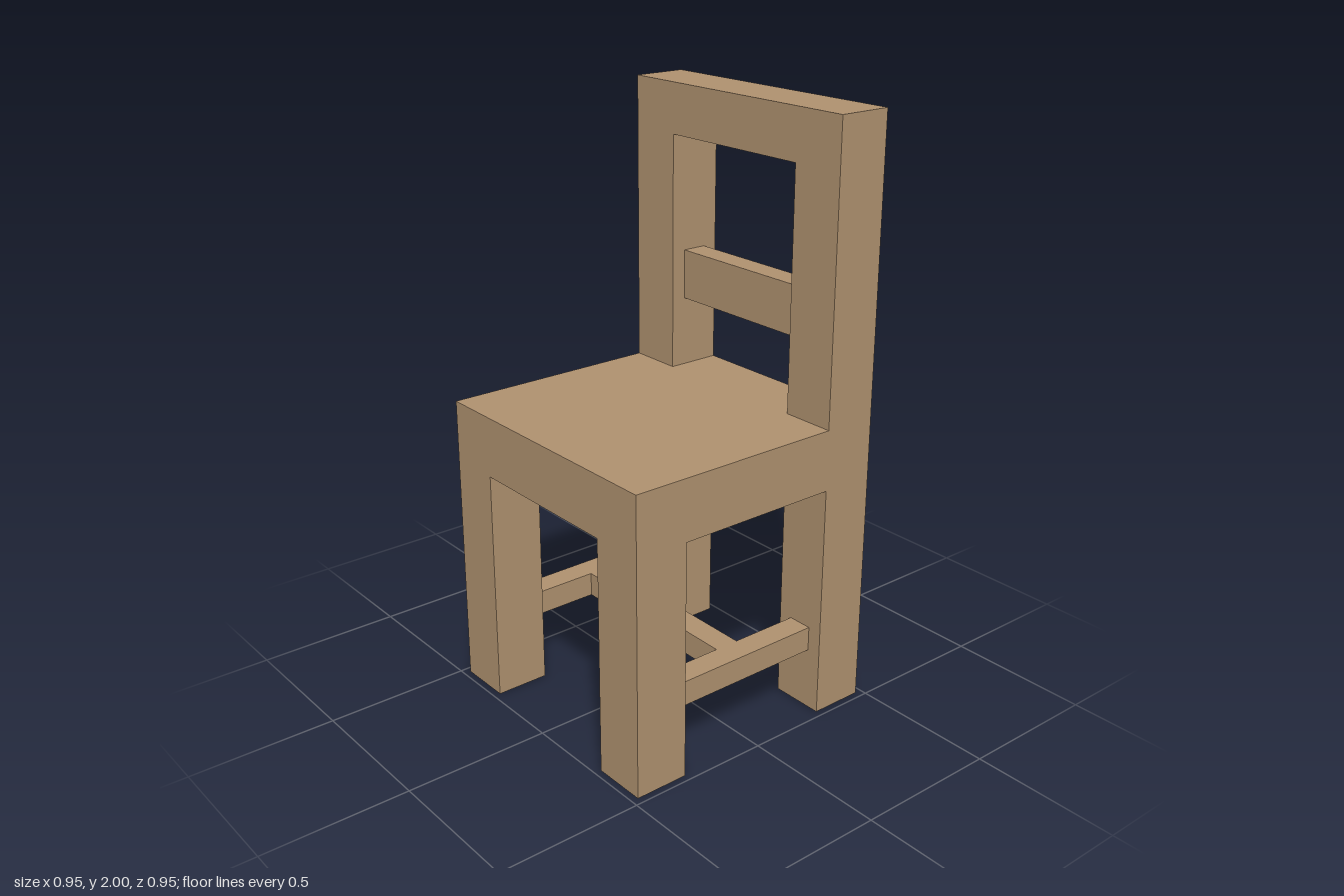
import * as THREE from 'three';

export function createModel() {
  const chair = new THREE.Group();
  chair.name = 'chair';
  const wood = new THREE.MeshStandardMaterial({ color: 0xb09270 });
  wood.name = 'wood';

  const OUT = 0.476, IN = 0.288;            // outer and inner faces of the posts
  const MID = (OUT + IN) / 2, POST = OUT - IN;
  const SEAT_LOW = 0.813, SEAT_TOP = 1.02, RAIL_LOW = 1.83, TOP = 2;
  const BAR = 0.086;                        // thickness of stretchers and slat

  // Box of width w and depth d centred on x, z, between heights y0 and y1
  function block(name, w, d, y0, y1, x, z) {
    const mesh = new THREE.Mesh(new THREE.BoxGeometry(w, y1 - y0, d), wood);
    mesh.name = name;
    mesh.position.set(x, (y0 + y1) / 2, z);
    chair.add(mesh);
  }

  block('seat', 2 * OUT, 2 * OUT, SEAT_LOW, SEAT_TOP, 0, 0);

  for (const [side, s] of [['left', 1], ['right', -1]]) {
    block(side + 'FrontLeg', POST, POST, 0, SEAT_LOW, s * MID, MID);
    block(side + 'BackLeg', POST, POST, 0, SEAT_LOW, s * MID, -MID);
    block(side + 'BackPost', POST, POST, SEAT_TOP, RAIL_LOW, s * MID, -MID);
    block(side + 'Stretcher', BAR, 2 * IN, 0.215, 0.3, s * MID, 0);
  }

  // Bar joining the side stretchers
  block('crossStretcher', 2 * MID - BAR, BAR, 0.215, 0.3, 0, 0);

  // Backrest
  block('topRail', 2 * OUT, POST, RAIL_LOW, TOP, 0, -MID);
  block('backSlat', 2 * IN, BAR, 1.26, 1.43, 0, -MID);

  return chair;
}
